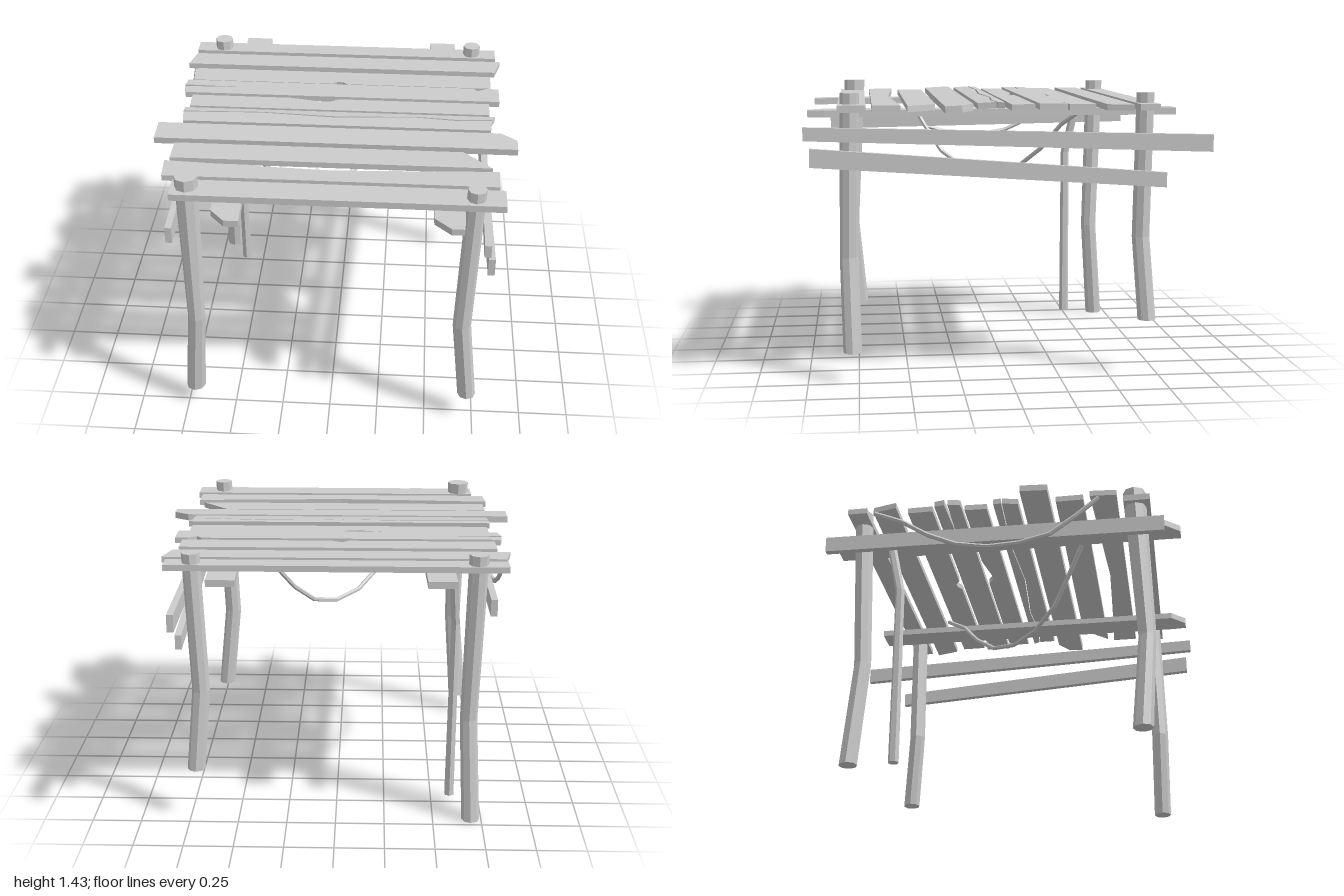
import * as THREE from 'three';

const mat = new THREE.MeshStandardMaterial({ color: 0xcccccc, flatShading: true });
const lerp = THREE.MathUtils.lerp;

export function createModel() {
  const root = new THREE.Group();
  const add = (name, geometry) => {
    const mesh = new THREE.Mesh(geometry, mat);
    mesh.name = name;
    root.add(mesh);
    return mesh;
  };

  // Flat board cut from an [x, z] outline; top is its upper height, tilt rolls it about its length
  function board(name, outline, top, thickness = 0.03, tilt = 0) {
    const zs = outline.map(p => p[1]);
    const mid = (Math.min(...zs) + Math.max(...zs)) / 2;
    const shape = new THREE.Shape(outline.map(([x, z]) => new THREE.Vector2(x, z - mid)));
    const geo = new THREE.ExtrudeGeometry(shape, { depth: thickness, bevelEnabled: false });
    geo.rotateX(Math.PI / 2);
    const mesh = add(name, geo);
    mesh.position.set(0, top, mid);
    mesh.rotation.x = tilt;
  }

  // Crooked post: a cylinder whose rings follow [x, y, z, radius] points
  function post(name, path, sides = 8) {
    const n = path.length - 1;
    const geo = new THREE.CylinderGeometry(1, 1, 1, sides, n);
    const pos = geo.attributes.position;
    for (let i = 0; i < pos.count; i++) {
      const p = path[Math.round((pos.getY(i) + 0.5) * n)];
      pos.setXYZ(i, p[0] + pos.getX(i) * p[3], p[1], p[2] + pos.getZ(i) * p[3]);
    }
    geo.computeVertexNormals();
    add(name, geo);
  }

  // Side rail between two ends, each { x, z, low, high }
  function rail(name, front, back, width = 0.032) {
    const geo = new THREE.BoxGeometry(width, 1, 1);
    const pos = geo.attributes.position;
    for (let i = 0; i < pos.count; i++) {
      const end = pos.getZ(i) > 0 ? front : back;
      pos.setXYZ(i, end.x + pos.getX(i), lerp(end.low, end.high, pos.getY(i) + 0.5), end.z);
    }
    geo.computeVertexNormals();
    add(name, geo);
  }

  function rope(name, points) {
    const curve = new THREE.CatmullRomCurve3(points.map(p => new THREE.Vector3(...p)));
    add(name, new THREE.TubeGeometry(curve, 8, 0.012, 6));
  }

  // Corner legs, each ending at its own height
  post('frontRightLeg', [[-0.71, 0.1, 0.745, 0.05], [-0.67, 0.6, 0.785, 0.044], [-0.675, 1.43, 0.755, 0.058]]);
  post('frontLeftLeg', [[0.715, 0.15, 0.78, 0.046], [0.667, 0.62, 0.79, 0.046], [0.697, 1.425, 0.775, 0.046]]);
  post('backRightLeg', [[-0.695, 0, -0.685, 0.046], [-0.67, 0.55, -0.645, 0.044], [-0.69, 1.42, -0.672, 0.048]]);
  post('backLeftLeg', [[0.71, 0.28, -0.695, 0.046], [0.675, 0.7, -0.665, 0.045], [0.7, 1.42, -0.672, 0.045]]);
  post('propPole', [[-0.595, 0.04, -0.485, 0.027], [-0.6, 1.0, -0.485, 0.024], [-0.575, 1.33, -0.555, 0.024]], 6);

  // Two support beams below the deck
  board('rightBeam', [[-0.58, -0.85], [-0.44, -0.85], [-0.4, 0.98], [-0.47, 0.98], [-0.54, 0.9]], 1.338, 0.034);
  board('leftBeam', [[0.47, -0.85], [0.61, -0.85], [0.645, 0.9], [0.64, 0.98], [0.58, 0.98], [0.5, 0.9]], 1.338, 0.034);

  // Deck planks, back to front, with broken corners, bites and splits
  board('plank1', [[-0.835, -0.72], [0.83, -0.72], [0.83, -0.62], [-0.835, -0.62]], 1.37);
  board('plank2', [[-0.83, -0.585], [0.855, -0.585], [0.82, -0.46], [-0.86, -0.46]], 1.37);
  board('plank3', [[-0.8, -0.41], [0.795, -0.41], [0.795, -0.28], [0.03, -0.28], [0, -0.3],
    [-0.03, -0.303], [-0.06, -0.28], [-0.8, -0.28]], 1.37);
  board('plank4', [[-0.83, -0.265], [0.7, -0.265], [0.725, -0.24], [0.77, -0.265], [0.835, -0.265],
    [0.835, -0.13], [-0.825, -0.13], [-0.84, -0.195], [-0.53, -0.202], [-0.84, -0.212]], 1.376);
  board('plank5', [[-0.785, -0.115], [-0.26, -0.115], [-0.1, -0.085], [-0.05, -0.088], [-0.01, -0.115],
    [0.78, -0.115], [0.78, 0], [-0.78, 0]], 1.37);
  const crack = [[-0.8, 0.08], [-0.4, 0.066], [0, 0.09], [0.4, 0.066], [0.62, 0.085], [0.79, 0.072]];
  board('plank6Back', [[0.805, 0.035], [-0.8, 0.035], ...crack.map(([x, z]) => [x, z - 0.004])].reverse(), 1.382, 0.03, -0.06);
  board('plank6Front', [...crack.map(([x, z]) => [x, z + 0.004]), [0.78, 0.165], [-0.79, 0.165]], 1.38, 0.03, 0.06);
  board('plank7', [[-0.91, 0.19], [0.83, 0.19], [0.91, 0.25], [0.91, 0.33], [-0.91, 0.33]], 1.374, 0.034, 0.05);
  board('plank8', [[-0.8, 0.36], [0.64, 0.36], [0.78, 0.5], [-0.8, 0.5]], 1.365);
  board('plank9', [[-0.82, 0.535], [-0.45, 0.555], [0, 0.575], [0.4, 0.557], [0.81, 0.535],
    [0.81, 0.67], [-0.81, 0.67]], 1.37);
  board('plank10', [[-0.75, 0.7], [0.835, 0.7], [0.835, 0.835], [-0.75, 0.835]], 1.372, 0.034);

  // Sloping side rails
  rail('leftUpperRail', { x: 0.75, z: 1, low: 1.2, high: 1.265 }, { x: 0.76, z: -1, low: 1.13, high: 1.215 });
  rail('leftLowerRail', { x: 0.775, z: 0.97, low: 1.075, high: 1.165 }, { x: 0.762, z: -0.77, low: 0.957, high: 1.03 });
  rail('rightRail', { x: -0.75, z: 0.9, low: 1.14, high: 1.225 }, { x: -0.753, z: -0.85, low: 1.17, high: 1.252 });

  // Ropes sagging below the deck and along its side
  const sag = [1.335, 1.15, 1.0, 0.96, 0.95, 0.99, 1.09, 1.24, 1.335];
  rope('middleRope', sag.map((y, i) => [lerp(-0.36, 0.41, i / 8), y, lerp(0.45, -0.43, i / 8)]));
  rope('sideRope', sag.map((y, i) => {
    const t = i / 8;
    return [lerp(-0.805, -0.83, t), lerp(1.335, y, 0.63), lerp(0.58, -0.58, t)];
  }));

  return root;
}
